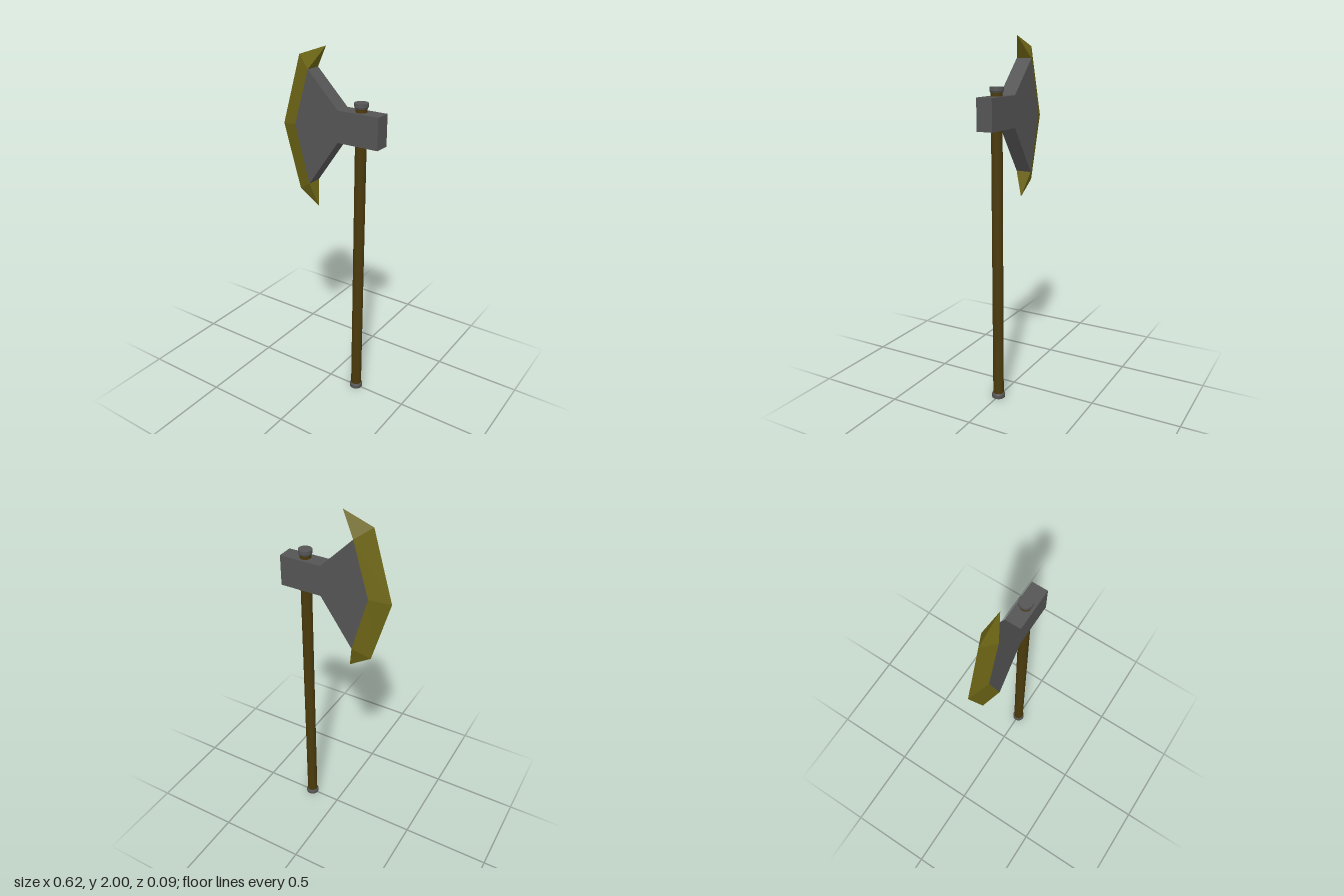
import * as THREE from 'three';

const HALF = 0.045; // half thickness of the head
const HANDLE_X = 0.185;
// Corners shared by the head and the cutting edge, top to bottom
const INNER = [[-0.112, 1.88], [-0.2, 1.58], [-0.112, 1.26]];
// Sharp rim of the cutting edge, tip to tip
const RIM = [[-0.03, 2], [-0.198, 1.942], [-0.31, 1.56], [-0.205, 1.2], [-0.08, 1.12]];

const paint = (color, flatShading) =>
  new THREE.MeshStandardMaterial({ color, flatShading });

function bladeGeometry() {
  const pos = [];
  const inner = (i, s) => [...INNER[i], s * HALF];
  const rim = (i) => [...RIM[i], 0];
  const tri = (a, b, c) => pos.push(...a, ...b, ...c);
  for (const s of [1, -1]) {
    const side = (a, b, c) => (s > 0 ? tri(a, b, c) : tri(a, c, b));
    side(inner(0, s), rim(0), rim(1)); // upper horn
    for (let i = 0; i < 2; i++) { // bevels
      side(inner(i, s), rim(i + 1), rim(i + 2));
      side(inner(i, s), rim(i + 2), inner(i + 1, s));
    }
    side(inner(2, s), rim(3), rim(4)); // lower horn
  }
  // Rear faces of the horns
  tri(inner(0, 1), inner(0, -1), rim(0));
  tri(inner(2, -1), inner(2, 1), rim(4));
  const g = new THREE.BufferGeometry();
  g.setAttribute('position', new THREE.Float32BufferAttribute(pos, 3));
  g.computeVertexNormals();
  return g;
}

export function createModel() {
  const group = new THREE.Group();
  const metal = paint(0x555555, true);
  const add = (name, geometry, material) => {
    const mesh = new THREE.Mesh(geometry, material);
    mesh.name = name;
    group.add(mesh);
    return mesh;
  };

  // Head: socket block flaring toward the cutting edge
  const outline = [[0.31, 1.525], [0.31, 1.695], [0.072, 1.695], ...INNER, [0.072, 1.525]];
  const shape = new THREE.Shape(outline.map(([x, y]) => new THREE.Vector2(x, y)));
  const head = new THREE.ExtrudeGeometry(shape, { depth: 2 * HALF, bevelEnabled: false });
  add('axeHead', head.translate(0, 0, -HALF), metal);

  // Cutting edge
  add('cuttingEdge', bladeGeometry(), paint(0x6e6616, true));

  // Handle
  const handle = add('handle', new THREE.CylinderGeometry(0.03, 0.03, 1.71, 32), paint(0x4a3a0c, false));
  handle.position.set(HANDLE_X, 0.87, 0);

  // End caps, each slightly narrower toward the handle
  const capMetal = paint(0x555555, false);
  for (const [name, y, up] of [['bottomCap', 0, 1], ['topCap', 1.742, -1]]) {
    const rings = [[0, 0], [0.037, 0], [0.037, 0], [0.037, 0.019], [0.037, 0.019], [0.033, 0.028], [0.033, 0.028], [0, 0.028]];
    const cap = add(name, new THREE.LatheGeometry(rings.map(([r, h]) => new THREE.Vector2(r, h)), 32), capMetal);
    cap.position.set(HANDLE_X, y, 0);
    if (up < 0) cap.rotation.x = Math.PI;
  }
  return group;
}
